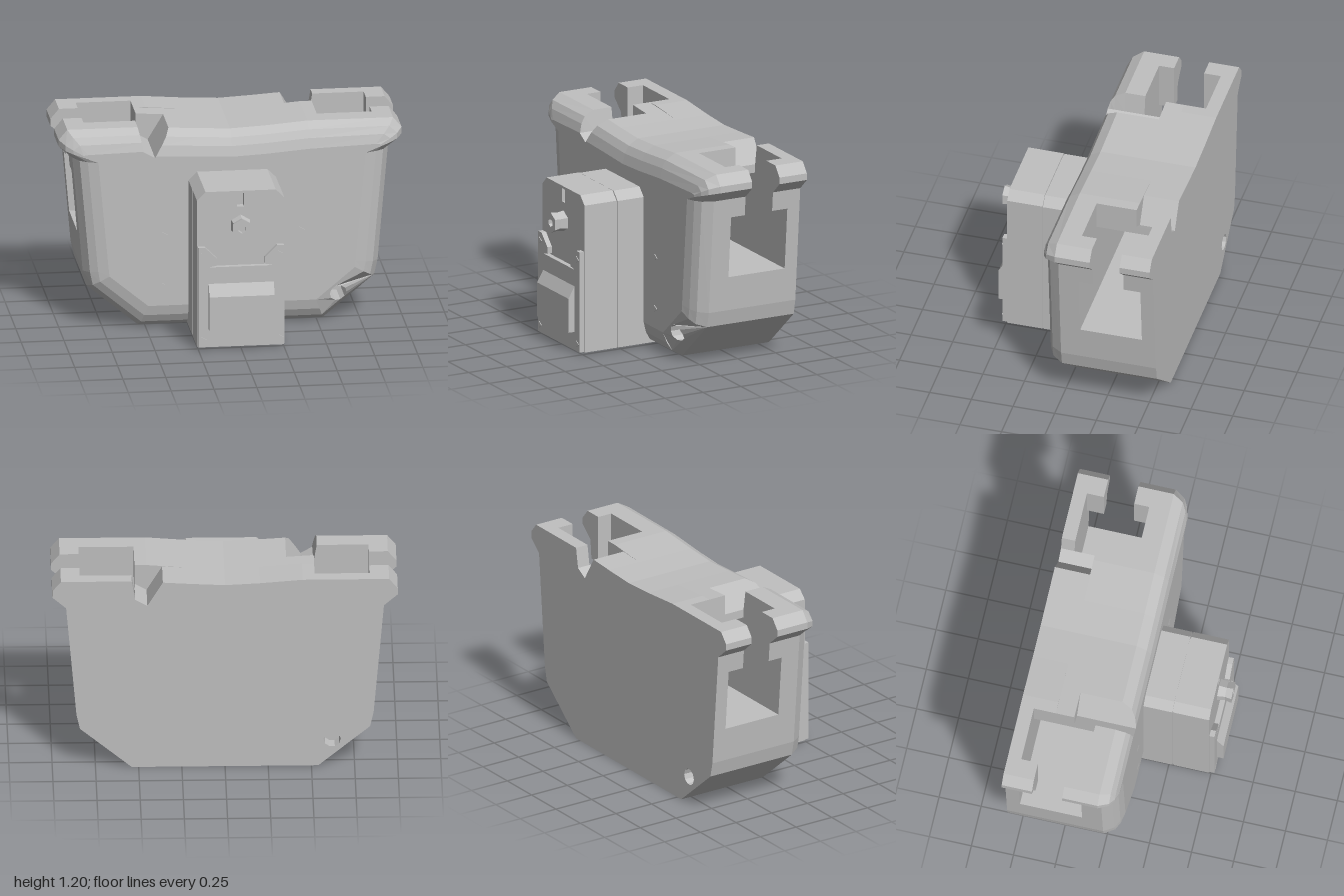
import * as THREE from 'three';

// Right half of the body outline, bottom to top: x, y, then inset direction
const SIDE = [
  [0.54, 0, -0.36, 1], [0.84, 0.25, -0.89, 0.56], [0.86, 0.34, -1, 0.2],
  [0.92, 1.03, -1, -0.05], [1, 1.1, -0.95, -0.3], [1, 1.14, -0.95, -0.5], [0.95, 1.2, -0.8, -0.9],
];
// Saddle-shaped top, right to left, with a grip groove cut in on the left
const TOP = [[0.45, 1.2, 0, -1], [0.2, 1.18, 0, -1], [0, 1.17, 0, -1], [-0.2, 1.18, 0, -1]];
const GROOVE = [[-0.36, 1.19, -0.6, -1], [-0.45, 1.04, 0, 0], [-0.52, 1.08, 0, 0]];
const mirror = (pts) => pts.map(([x, y, dx = 0, dy = 0]) => [-x, y, -dx, dy]).reverse();
const OUTLINE = [...SIDE, ...TOP, ...GROOVE, [-0.54, 1.2, 0.167, -0.85], ...mirror(SIDE)];

// Rounded front edge: z and inset
const RINGS = [[0, 0], [0.06, 0.035], [0.085, 0.08], [0.1, 0.14]];
const SOCKET = [0.62, 0.17, 0.05];

const toShape = (pts) => new THREE.Shape(pts.map(([x, y]) => new THREE.Vector2(x, y)));
const circle = ([cx, cy, r], n = 10) => Array.from({ length: n }, (_, i) => {
  const a = (i / n) * Math.PI * 2;
  return [cx + r * Math.cos(a), cy + r * Math.sin(a)];
});
const withHoles = (pts, ...holes) => {
  const s = toShape(pts);
  holes.forEach((h) => s.holes.push(toShape(h)));
  return s;
};
// Prism of a front-facing shape between two depths
const prism = (shape, z0, z1) =>
  new THREE.ExtrudeGeometry(shape, { depth: z1 - z0, bevelEnabled: false }).translate(0, 0, z0);

const flat = (g) => {
  const n = g.index ? g.toNonIndexed() : g;
  n.computeVertexNormals();
  return n;
};

// Depth of the rounded edge at a given inset
function edgeDepth(d) {
  for (let i = 1; i < RINGS.length; i++) {
    const [z0, d0] = RINGS[i - 1], [z1, d1] = RINGS[i];
    if (d <= d1) return z0 + (z1 - z0) * Math.max(0, d - d0) / (d1 - d0);
  }
  return 0.1;
}
// Depth on the lower slanted edge, where the socket sits
function slantDepth(x, y) {
  const [ax, ay] = SIDE[0], [bx, by] = SIDE[1];
  const len = Math.hypot(bx - ax, by - ay);
  return edgeDepth(((y - ay) * (bx - ax) - (x - ax) * (by - ay)) / len);
}

function roundedEdge() {
  const pos = [];
  const quad = (a, b, c, d) => pos.push(...a, ...b, ...c, ...a, ...c, ...d);
  const at = (i, k) => {
    const [x, y, dx, dy] = OUTLINE[i % OUTLINE.length];
    const [z, d] = RINGS[k];
    return [x + dx * d, y + dy * d, z];
  };
  // The slanted edge 0 is made separately with its socket
  for (let i = 1; i < OUTLINE.length; i++)
    for (let k = 0; k + 1 < RINGS.length; k++)
      quad(at(i, k), at(i + 1, k), at(i + 1, k + 1), at(i, k + 1));
  // Socket wall
  const ring = circle(SOCKET);
  ring.forEach(([x, y], i) => {
    const [u, v] = ring[(i + 1) % ring.length];
    quad([u, v, 0], [x, y, 0], [x, y, slantDepth(x, y)], [u, v, slantDepth(u, v)]);
  });
  const g = new THREE.BufferGeometry();
  g.setAttribute('position', new THREE.Float32BufferAttribute(pos, 3));
  return flat(g);
}

function socketEdge() {
  const col = (i) => RINGS.map(([, d]) => {
    const [x, y, dx, dy] = OUTLINE[i];
    return [x + dx * d, y + dy * d];
  });
  const g = new THREE.ShapeGeometry(withHoles([...col(1), ...col(0).reverse()], circle(SOCKET)));
  const p = g.attributes.position;
  for (let i = 0; i < p.count; i++) p.setZ(i, slantDepth(p.getX(i), p.getY(i)));
  return flat(g);
}

export function createModel() {
  const model = new THREE.Group();
  model.name = 'caseWithModule';
  const grey = new THREE.MeshStandardMaterial({ color: 0xc0c0c0 });
  const add = (name, geometry) => {
    const mesh = new THREE.Mesh(geometry, grey);
    mesh.name = name;
    model.add(mesh);
    return mesh;
  };

  // Front and back walls; the back repeats the groove and socket mirrored
  add('frontWall', prism(withHoles(OUTLINE, circle(SOCKET)), -0.12, 0));
  add('frontRoundedEdge', roundedEdge());
  add('frontSocketEdge', socketEdge());
  const inset = RINGS[3][1];
  const face = OUTLINE.map(([x, y, dx, dy]) => [x + dx * inset, y + dy * inset]);
  add('frontFace', new THREE.ShapeGeometry(toShape(face)).translate(0, 0, 0.1));
  add('backWall', prism(withHoles(mirror(OUTLINE), circle([-0.62, 0.17, 0.05])), -0.57, -0.49));

  // Solid base under the open tunnel
  const baseSide = [...SIDE.slice(0, 3), [0.878, 0.545]];
  add('base', prism(toShape([...baseSide, ...mirror(baseSide)]), -0.49, -0.12));

  // Roof between the two side pockets, in three lengths
  const roof = (groove) => [[-0.52, 1.03], [0.52, 1.03], [0.52, 1.2], ...TOP, ...groove];
  const plain = [[-0.36, 1.19], [-0.52, 1.2]];
  add('roofBack', prism(toShape(mirror(roof(GROOVE))), -0.49, -0.36));
  add('roofMiddle', prism(toShape(roof(plain)), -0.36, -0.25));
  add('roofFront', prism(toShape(roof(GROOVE)), -0.25, -0.12));

  // Lip posts either side of each window slot
  const post = [[0.84, 0.915], [0.91, 0.915], ...SIDE.slice(3), [0.84, 1.2]];
  for (const [z0, z1] of [[-0.21, -0.12], [-0.49, -0.39]]) {
    add('leftLipPost', prism(toShape(post), z0, z1));
    add('rightLipPost', prism(toShape(mirror(post)), z0, z1));
  }

  // Front module: two blocks with a seam, and a slotted front plate
  const block = (w, top, c) => [[-w, 0.012], [w, 0.012], [w, top - c], [w - c, top], [c - w, top], [-w, top - c]];
  const slot = [[-0.02, 0.855], [0.02, 0.855], [0.02, 0.935], [-0.02, 0.935]];
  add('moduleRear', prism(toShape(block(0.255, 0.947, 0.05)), 0, 0.272));
  add('moduleSeam', prism(toShape(block(0.248, 0.94, 0.05)), 0.27, 0.28));
  add('moduleFront', prism(toShape(block(0.255, 0.95, 0.05)), 0.278, 0.45));
  add('moduleFace', prism(withHoles(block(0.255, 0.95, 0.05), slot), 0.45, 0.49));

  // Raised lower plate with two shoulders
  const shoulder = [[0.25, 0.015], [0.25, 0.62], [0.21, 0.62], [0.14, 0.55], [0.14, 0.51], [0.19, 0.5]];
  add('lowerPlate', prism(toShape([...shoulder, ...mirror(shoulder)]), 0.48, 0.52));

  // Sloped latch box
  const latch = toShape([[0.5, 0.125], [0.56, 0.125], [0.56, 0.33], [0.52, 0.4], [0.5, 0.4]]);
  add('latch', prism(latch, -0.19, 0.19).rotateY(-Math.PI / 2));

  // Hollow six-sided knob
  const knob = [[0.063, 0], [0.055, 0.045], [0.063, 0.085], [0.025, 0.085], [0.025, 0.05], [0, 0.05]];
  const knobGeo = new THREE.LatheGeometry(knob.map(([r, h]) => new THREE.Vector2(r, h)), 6);
  add('knob', flat(knobGeo.rotateX(Math.PI / 2))).position.set(0, 0.742, 0.49);

  // Small three-sided studs
  for (const s of [-1, 1])
    for (const [x, y, z] of [[0.4, 0.57, 0.1], [0.4, 0.26, 0.1], [0.225, 0.57, 0.52], [0.225, 0.06, 0.52]])
      add('stud', prism(toShape(circle([s * x, y, 0.022], 3)), z - 0.002, z + 0.004));

  return model;
}
